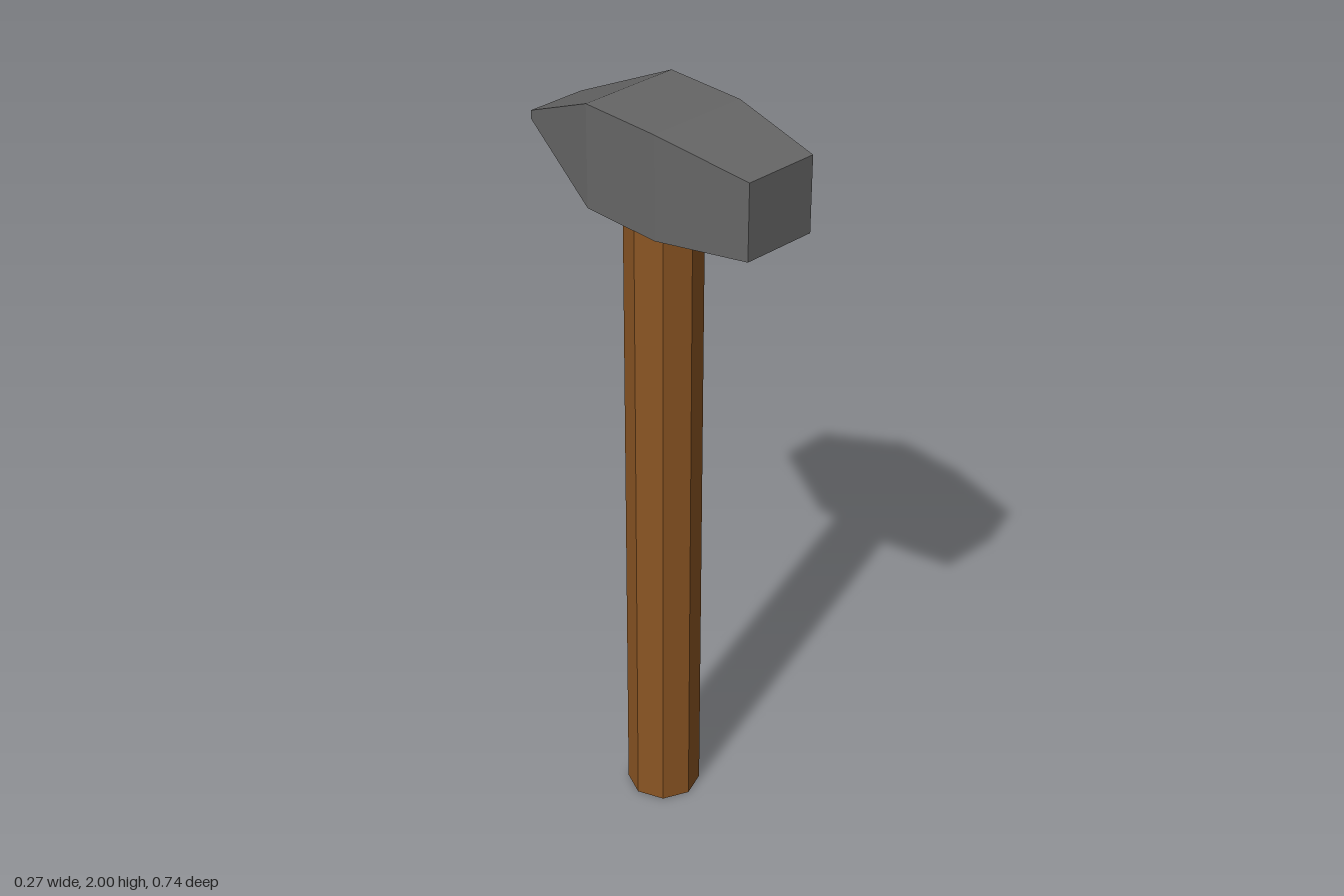
import * as THREE from 'three';

// Joins rectangular sections [z, halfWidth, bottom, top], ordered back to front, into a closed solid
function loftRectangles(sections) {
  const rings = sections.map(([z, w, y0, y1]) => [[-w, y0, z], [w, y0, z], [w, y1, z], [-w, y1, z]]);
  const positions = [];
  const quad = (a, b, c, d) => positions.push(...a, ...b, ...c, ...a, ...c, ...d);
  for (let s = 0; s < rings.length - 1; s++) {
    const back = rings[s], front = rings[s + 1];
    for (let i = 0; i < 4; i++) {
      const j = (i + 1) % 4;
      quad(front[i], back[i], back[j], front[j]);
    }
  }
  const first = rings[0], last = rings[rings.length - 1];
  quad(last[0], last[1], last[2], last[3]);
  quad(first[1], first[0], first[3], first[2]);
  const geometry = new THREE.BufferGeometry();
  geometry.setAttribute('position', new THREE.Float32BufferAttribute(positions, 3));
  geometry.computeVertexNormals();
  return geometry;
}

export function createModel() {
  const model = new THREE.Group();
  model.name = 'hammer';
  const wood = new THREE.MeshStandardMaterial({ color: 0x8b5523, flatShading: true });
  const steel = new THREE.MeshStandardMaterial({ color: 0x666666, flatShading: true });

  // Octagonal wooden handle, its top hidden inside the head
  const handleHeight = 1.8;
  const handle = new THREE.Mesh(new THREE.CylinderGeometry(0.096, 0.096, handleHeight, 8), wood);
  handle.name = 'handle';
  handle.position.y = handleHeight / 2;
  model.add(handle);

  // Head: wedge-shaped peen at the back, block in the middle, square face at the front
  const head = new THREE.Mesh(loftRectangles([
    [-0.372, 0.08, 1.857, 1.879],
    [-0.115, 0.135, 1.735, 2],
    [0.11, 0.135, 1.735, 2],
    [0.372, 0.1, 1.77, 1.965],
  ]), steel);
  head.name = 'head';
  model.add(head);

  return model;
}
